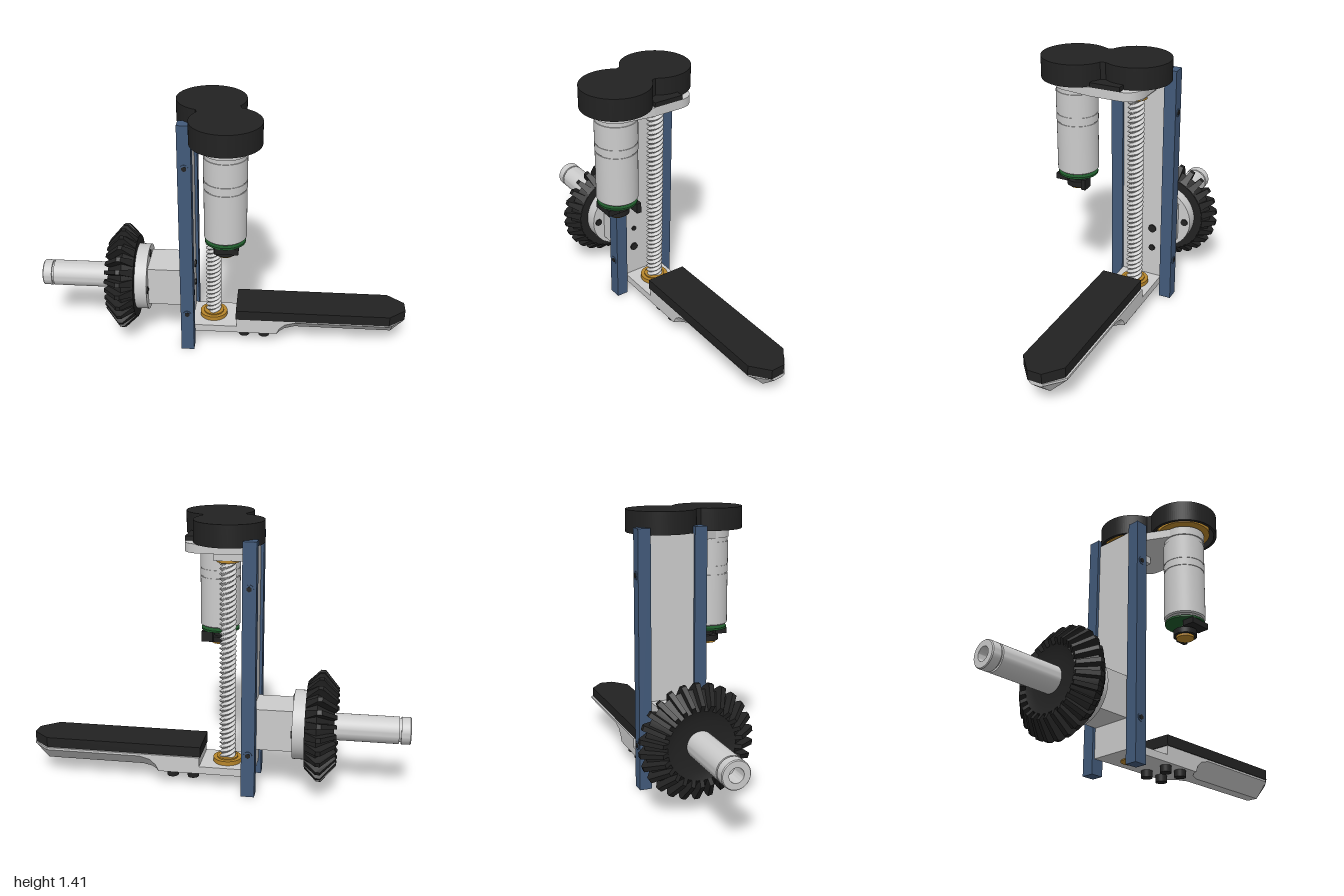
import * as THREE from 'three';
import { toCreasedNormals } from 'three/addons/utils/BufferGeometryUtils.js';

const mat = (color, flatShading = false) => new THREE.MeshStandardMaterial({ color, flatShading });
const grey = mat(0xcccccc), black = mat(0x222222), blue = mat(0x425a7a), brass = mat(0xb8862b), green = mat(0x1f5a2b);
const greyFlat = mat(0xcccccc, true), blackFlat = mat(0x222222, true);
const ZC = -0.09; // depth of the shaft and lead screw axes

export function createModel() {
  const root = new THREE.Group();
  const add = (name, geo, material, x = 0, y = 0, z = 0, parent = root) => {
    const m = new THREE.Mesh(geo, material);
    m.name = name;
    m.position.set(x, y, z);
    parent.add(m);
    return m;
  };
  // box from min/max bounds
  const box = (name, material, x0, x1, y0, y1, z0, z1) =>
    add(name, new THREE.BoxGeometry(x1 - x0, y1 - y0, z1 - z0), material, (x0 + x1) / 2, (y0 + y1) / 2, (z0 + z1) / 2);
  // upright cylinder from y0 to y1
  const disc = (name, material, r, y0, y1, x, z, seg = 40) =>
    add(name, new THREE.CylinderGeometry(r, r, y1 - y0, seg), material, x, (y0 + y1) / 2, z);
  const lathe = (pts, seg = 48) =>
    toCreasedNormals(new THREE.LatheGeometry(pts.map(p => new THREE.Vector2(...p)), seg), 0.5);
  // plan shape drawn in (x, z), extruded downwards from y1 to y0
  const slab = (name, shape, material, y0, y1) =>
    add(name, new THREE.ExtrudeGeometry(shape, { depth: y1 - y0, bevelEnabled: false, curveSegments: 40 }).rotateX(Math.PI / 2), material, 0, y1, 0);

  // rails, back plate and their screws
  for (const [z0, z1, out] of [[0.03, 0.095, 1], [-0.265, -0.2, -1]]) {
    box('rail', blue, -0.22, -0.15, 0, 1.33, z0, z1);
    for (const y of [0.23, 1.1]) {
      const z = out > 0 ? z1 : z0;
      add('railScrew', new THREE.CylinderGeometry(0.022, 0.022, 0.006, 20).rotateX(Math.PI / 2), blue, -0.185, y, z);
      add('railScrewSocket', new THREE.CylinderGeometry(0.014, 0.014, 0.01, 6).rotateX(Math.PI / 2), black, -0.185, y, z);
    }
  }
  box('backPlate', grey, -0.205, -0.165, 0.08, 1.295, -0.2, 0.03);
  for (const [y, z, r] of [[0.41, -0.025, 0.013], [0.41, -0.145, 0.022], [0.29, -0.025, 0.022], [0.29, -0.145, 0.017]])
    add('plateBolt', new THREE.CylinderGeometry(r, r, 0.012, 20).rotateZ(Math.PI / 2), black, -0.163, y, z);

  // drive shaft, flange and bevel gear, turned about the x axis
  box('hubBlock', grey, -0.41, -0.2, 0.24, 0.46, -0.2, 0.02);
  const drive = new THREE.Group();
  drive.name = 'driveAxle';
  drive.position.set(0, 0.35, ZC);
  drive.rotation.z = Math.PI / 2; // local y runs towards -x
  root.add(drive);
  add('shaft', lathe([[0.07, 0.46], [0.07, 0.94], [0.06, 0.94], [0.06, 0.95], [0.07, 0.95], [0.07, 0.995],
    [0.066, 1], [0.036, 1], [0.036, 0.9], [0, 0.9]]), grey, 0, 0, 0, drive);
  add('flange', new THREE.CylinderGeometry(0.18, 0.18, 0.065, 56), grey, 0, 0.4375, 0, drive);
  for (let i = 0; i < 4; i++) {
    const a = i * Math.PI / 2;
    add('flangeBolt', new THREE.CylinderGeometry(0.02, 0.02, 0.012, 20), black, 0.147 * Math.cos(a), 0.405, 0.147 * Math.sin(a), drive);
  }
  add('gearBody', lathe([[0.06, 0], [0.225, 0], [0.255, 0.06], [0.17, 0.145], [0.13, 0.13], [0.06, 0.13]], 52),
    black, 0, 0.47, 0, drive);
  const toothShape = new THREE.Shape([[0.2, 0.01], [0.228, 0], [0.288, 0.062], [0.288, 0.085], [0.2, 0.16], [0.15, 0.135]]
    .map(p => new THREE.Vector2(...p)));
  const tooth = new THREE.ExtrudeGeometry(toothShape, { depth: 0.042, bevelEnabled: false }).translate(0, 0, -0.021);
  const tp = tooth.attributes.position;
  for (let i = 0; i < tp.count; i++) // narrow the tip and the toe
    tp.setZ(i, tp.getZ(i) * (tp.getX(i) > 0.28 ? 0.6 : tp.getY(i) > 0.13 ? 0.5 : 1));
  const TEETH = 26;
  for (let i = 0; i < TEETH; i++)
    add('gearTooth', tooth, blackFlat, 0, 0.47, 0, drive).rotation.y = i / TEETH * Math.PI * 2;

  // lead screw: cylinder with a three-start thread
  const SX = -0.055, pitch = 0.026;
  const thread = new THREE.CylinderGeometry(0.04, 0.04, 1.1, 24, 254, true);
  const p = thread.attributes.position;
  for (let i = 0; i < p.count; i++) {
    const a = Math.atan2(p.getX(i), p.getZ(i));
    const r = 0.037 + 0.007 * Math.cos(2 * Math.PI * p.getY(i) / pitch - 3 * a);
    p.setX(i, r * Math.sin(a));
    p.setZ(i, r * Math.cos(a));
  }
  thread.computeVertexNormals();
  add('leadScrew', thread, grey, SX, 0.67, ZC);
  disc('lowerNut', brass, 0.075, 0.12, 0.143, SX, ZC);
  disc('lowerNutCollar', brass, 0.055, 0.074, 0.15, SX, ZC);
  disc('upperBearing', brass, 0.057, 1.196, 1.215, SX, ZC);
  box('bearingBlock', grey, -0.165, 0.01, 1.21, 1.25, -0.15, -0.025);

  // top bracket
  const bracket = new THREE.Shape();
  bracket.moveTo(-0.165, -0.19);
  bracket.lineTo(0.06, -0.19);
  bracket.quadraticCurveTo(0.16, -0.18, 0.16, -0.09);
  bracket.lineTo(0.16, 0.06);
  bracket.lineTo(0.14, 0.2);
  bracket.absarc(0.03, 0.2, 0.11, 0, Math.PI, false);
  bracket.lineTo(-0.165, 0.03);
  slab('topBracket', bracket, grey, 1.25, 1.296);
  box('sensorBlock', black, 0.08, 0.16, 1.296, 1.32, -0.1, 0.06);

  // gear cover: figure-eight cap, hollow underneath
  const A = [-0.06, ZC], B = [0.03, 0.2];
  const axis = Math.atan2(B[1] - A[1], B[0] - A[0]), neck = 0.68;
  const eight = (path, r) => {
    path.absarc(...B, r, axis - Math.PI + neck, axis + Math.PI - neck, false);
    path.absarc(...A, r, axis + neck, axis - neck + 2 * Math.PI, false);
    path.closePath();
    return path;
  };
  const wall = eight(new THREE.Shape(), 0.178);
  wall.holes.push(eight(new THREE.Path(), 0.163));
  slab('coverWall', wall, black, 1.295, 1.39);
  slab('coverTop', eight(new THREE.Shape(), 0.178), black, 1.39, 1.408);
  disc('screwPulley', brass, 0.15, 1.305, 1.35, A[0], A[1]);
  disc('motorPulley', brass, 0.14, 1.305, 1.35, B[0], B[1]);

  // motor with gearbox and encoder
  const [MX, MZ] = B;
  add('motor', lathe([[0, 0.79], [0.1, 0.79], [0.107, 0.797], [0.107, 1.06], [0.104, 1.06], [0.104, 1.066], [0.108, 1.066],
    [0.108, 1.105], [0.105, 1.105], [0.105, 1.11], [0.108, 1.11], [0.108, 1.228], [0.104, 1.228], [0.104, 1.25]]), grey, MX, 0, MZ);
  disc('motorBoss', grey, 0.03, 0.775, 0.79, MX, MZ);
  disc('encoderBoard', green, 0.103, 0.766, 0.776, MX, MZ);
  disc('encoderShaft', grey, 0.012, 0.69, 0.79, MX, MZ, 16);
  disc('encoderHub', black, 0.035, 0.725, 0.745, MX, MZ);
  disc('encoderDisc', black, 0.061, 0.7, 0.73, MX, MZ);
  disc('encoderRing', brass, 0.046, 0.688, 0.7, MX, MZ);
  box('connector', black, -0.02, 0.1, 0.735, 0.767, 0.23, 0.295);
  box('connector', black, 0.06, 0.12, 0.71, 0.767, 0.115, 0.14);

  // loft along x; each section is [x, halfWidth, sideY, bottomHalfWidth, bottomY]
  const loft = (name, material, zc, top, sections) => {
    const v = [], idx = [], n = 6;
    for (const [x, w, s, b, yb] of sections)
      for (const [z, y] of [[w, top], [-w, top], [-w, s], [-b, yb], [b, yb], [w, s]]) v.push(x, y, zc + z);
    for (let i = 0; i < sections.length - 1; i++)
      for (let k = 0; k < n; k++) {
        const a = i * n + k, b = i * n + (k + 1) % n;
        idx.push(a, a + n, b + n, a, b + n, b);
      }
    const e = (sections.length - 1) * n;
    for (let k = 1; k < n - 1; k++) idx.push(0, k, k + 1, e, e + k + 1, e + k);
    const g = new THREE.BufferGeometry();
    g.setAttribute('position', new THREE.Float32BufferAttribute(v, 3));
    g.setIndex(idx);
    g.computeVertexNormals();
    return add(name, g, material);
  };

  // foot plate, keeled arm and pad
  box('footPlate', grey, -0.165, 0.08, 0.08, 0.12, -0.2, 0.03);
  loft('arm', greyFlat, -0.085, 0.17, [
    [0.08, 0.115, 0.085, 0.115, 0.08], [0.3, 0.115, 0.085, 0.115, 0.08], [0.315, 0.115, 0.115, 0.085, 0.08],
    [0.345, 0.115, 0.142, 0.055, 0.08], [0.4, 0.115, 0.158, 0.032, 0.08],
    [0.91, 0.115, 0.158, 0.032, 0.08], [0.93, 0.1, 0.158, 0.032, 0.08], [1, 0.037, 0.158, 0.025, 0.15]]);
  const pad = new THREE.Shape([[0.075, -0.19], [0.91, -0.19], [1, -0.115], [1, -0.04], [0.91, 0.035], [0.075, 0.035]]
    .map(q => new THREE.Vector2(...q)));
  slab('pad', pad, black, 0.168, 0.224);
  for (const x of [0.12, 0.23]) for (const z of [-0.02, -0.15])
    disc('footBolt', black, 0.03, 0.044, 0.082, x, z, 24);

  return root;
}
